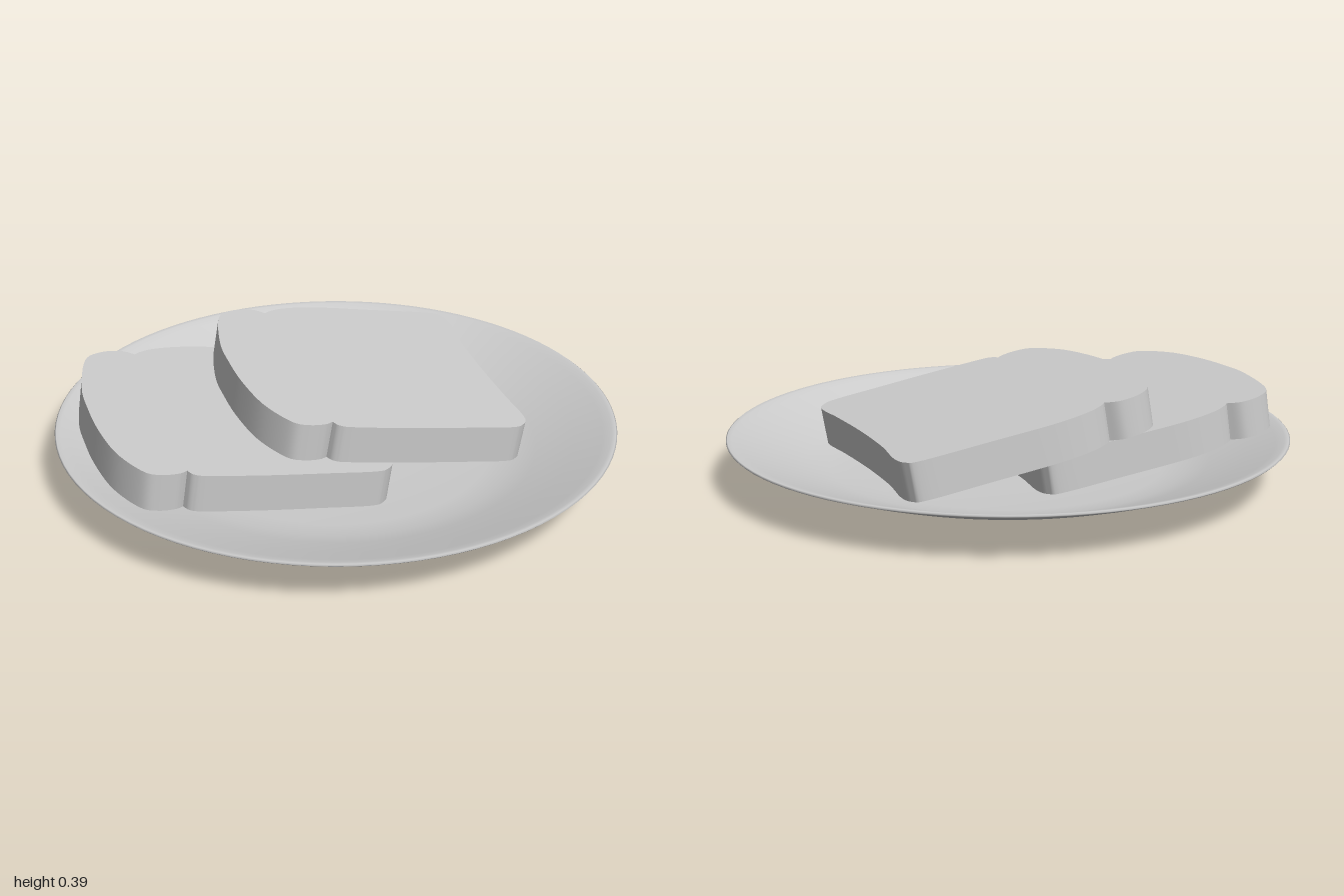
import * as THREE from 'three';
import { toCreasedNormals } from 'three/addons/utils/BufferGeometryUtils.js';

const grey = new THREE.MeshStandardMaterial({ color: 0xcccccc });
grey.name = 'light grey';

const vectors = (pairs) => pairs.map(([x, y]) => new THREE.Vector2(x, y));

// Shallow dish: underside outwards, round the rim, then back across the inside
function makePlate() {
  const profile = vectors([
    [0, 0], [0.25, 0.004], [0.45, 0.013], [0.6, 0.025], [0.645, 0.034],
    [0.8, 0.086], [0.9, 0.122], [0.97, 0.149], [0.995, 0.158], [1, 0.163],
    [0.995, 0.167], [0.98, 0.165], [0.95, 0.155], [0.85, 0.117],
    [0.72, 0.071], [0.64, 0.048], [0.55, 0.036], [0.3, 0.024], [0, 0.02],
  ]);
  const plate = new THREE.Mesh(new THREE.LatheGeometry(profile, 96), grey);
  plate.name = 'plate';
  return plate;
}

// Outline of a slice: crown towards -x, flat base towards +x, with a notch on each side
function makeSliceGeometry(thickness) {
  const shape = new THREE.Shape();
  shape.moveTo(-0.28, -0.445);
  shape.splineThru(vectors([
    [-0.262, -0.472], [-0.21, -0.484], [-0.01, -0.491], [0.2, -0.49], [0.36, -0.488],
    [0.415, -0.468], [0.445, -0.411], [0.439, -0.25], [0.436, -0.02], [0.444, 0.2],
    [0.462, 0.356], [0.45, 0.425], [0.405, 0.454], [0.18, 0.468], [-0.058, 0.481],
    [-0.187, 0.465], [-0.25, 0.438], [-0.275, 0.417],
  ]));
  shape.splineThru(vectors([
    [-0.325, 0.447], [-0.405, 0.434], [-0.47, 0.366], [-0.52, 0.147], [-0.526, -0.005],
    [-0.518, -0.16], [-0.488, -0.32], [-0.425, -0.442], [-0.37, -0.468], [-0.31, -0.462],
    [-0.28, -0.445],
  ]));
  const geometry = new THREE.ExtrudeGeometry(shape, {
    depth: thickness, bevelEnabled: false, curveSegments: 5,
  });
  geometry.translate(0, 0, -thickness);
  return toCreasedNormals(geometry, 0.6);
}

// Lays a slice so its top face passes through `centre` with the given slopes in x and z
function makeSlice(name, geometry, centre, slopeX, slopeZ) {
  const normal = new THREE.Vector3(-slopeX, 1, -slopeZ).normalize();
  const along = new THREE.Vector3(0.902, 0, -0.431);
  along.y = slopeX * along.x + slopeZ * along.z;
  along.normalize();
  const across = new THREE.Vector3().crossVectors(normal, along);
  const slice = new THREE.Mesh(geometry, grey);
  slice.name = name;
  slice.quaternion.setFromRotationMatrix(new THREE.Matrix4().makeBasis(along, across, normal));
  slice.position.set(...centre);
  return slice;
}

export function createModel() {
  const model = new THREE.Group();
  model.name = 'plateOfBread';
  const geometry = makeSliceGeometry(0.134);
  model.add(
    makePlate(),
    makeSlice('lowerBreadSlice', geometry, [-0.34, 0.241, 0.13], -0.14, 0.035),
    makeSlice('upperBreadSlice', geometry, [0.1, 0.306, -0.14], -0.159, 0.04),
  );
  return model;
}
